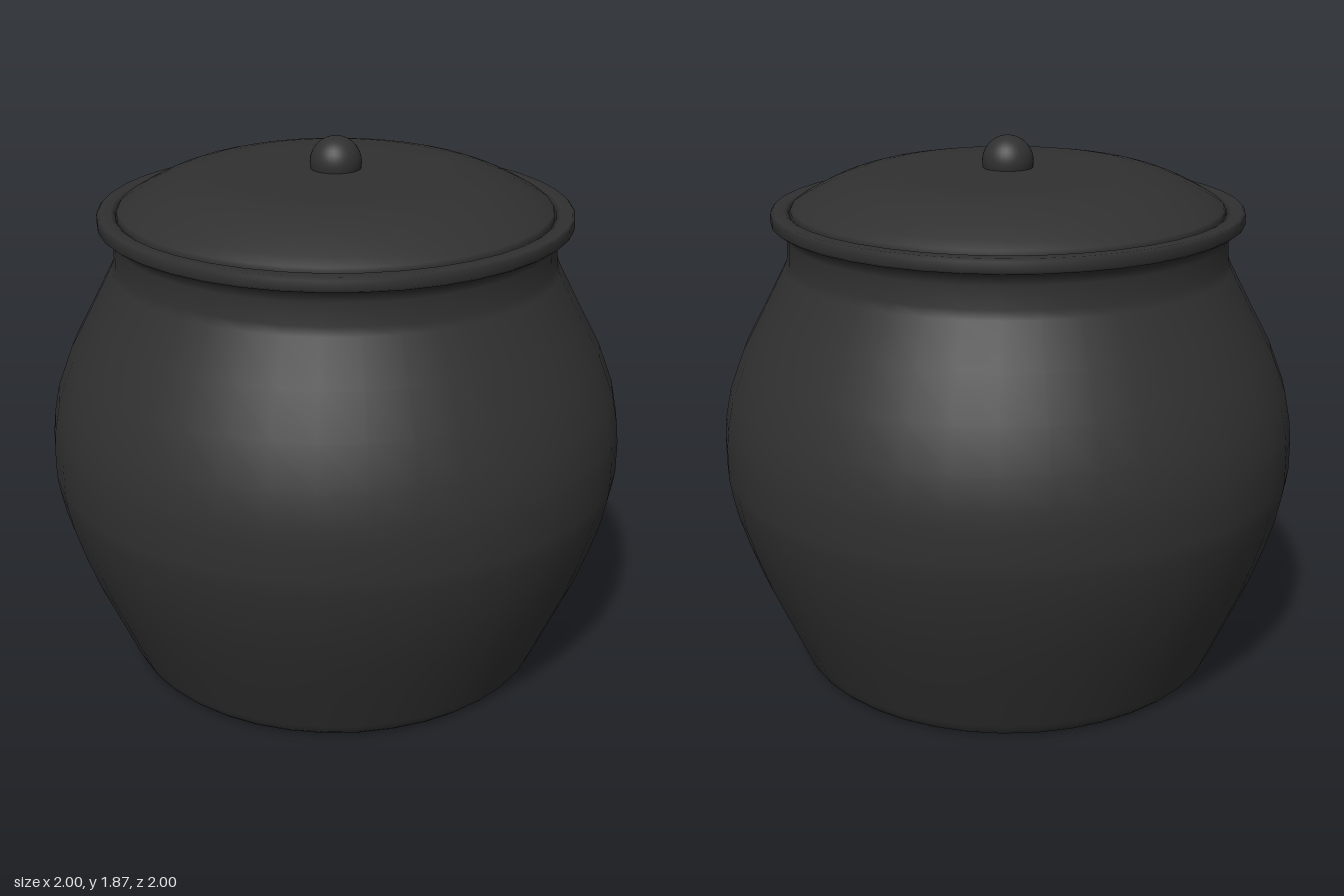
import * as THREE from 'three';

const SEGMENTS = 40;

// Revolve a [radius, height] profile, listed from bottom to top on the outside
function turned(name, profile, material) {
  const points = profile.map(([r, y]) => new THREE.Vector2(r, y));
  const mesh = new THREE.Mesh(new THREE.LatheGeometry(points, SEGMENTS), material);
  mesh.name = name;
  return mesh;
}

export function createModel() {
  const group = new THREE.Group();
  group.name = 'liddedPot';
  const material = new THREE.MeshStandardMaterial({ color: 0x303030, side: THREE.DoubleSide });

  // Belly, neck and rolled rim, turning in to a short inner wall
  group.add(turned('pot', [
    [0, 0], [0.71, 0], [0.735, 0.006], [0.75, 0.02], [0.765, 0.05],
    [0.83, 0.2], [0.895, 0.35], [0.94, 0.475], [0.975, 0.59], [0.993, 0.68],
    [1, 0.73], [1, 0.84], [0.993, 0.91], [0.973, 1.01], [0.92, 1.15], [0.845, 1.29],
    [0.77, 1.435], [0.758, 1.465], [0.755, 1.54], [0.762, 1.565], [0.78, 1.58],
    [0.797, 1.585], [0.808, 1.593], [0.808, 1.625], [0.8, 1.634],
    [0.76, 1.634], [0.745, 1.625], [0.74, 1.58], [0.74, 1.45],
  ], material));

  // Domed lid with a flat top, seated inside the rim
  group.add(turned('lid', [
    [0, 1.59], [0.735, 1.59], [0.742, 1.6], [0.742, 1.632], [0.735, 1.642],
    [0.7, 1.665], [0.65, 1.692], [0.6, 1.716], [0.55, 1.735], [0.5, 1.749],
    [0.45, 1.758], [0.4, 1.761], [0.2, 1.761], [0, 1.761],
  ], material));

  // Round knob sunk into the lid
  const knob = new THREE.Mesh(new THREE.SphereGeometry(0.088, 32, 20), material);
  knob.name = 'knob';
  knob.position.y = 1.782;
  group.add(knob);

  return group;
}
